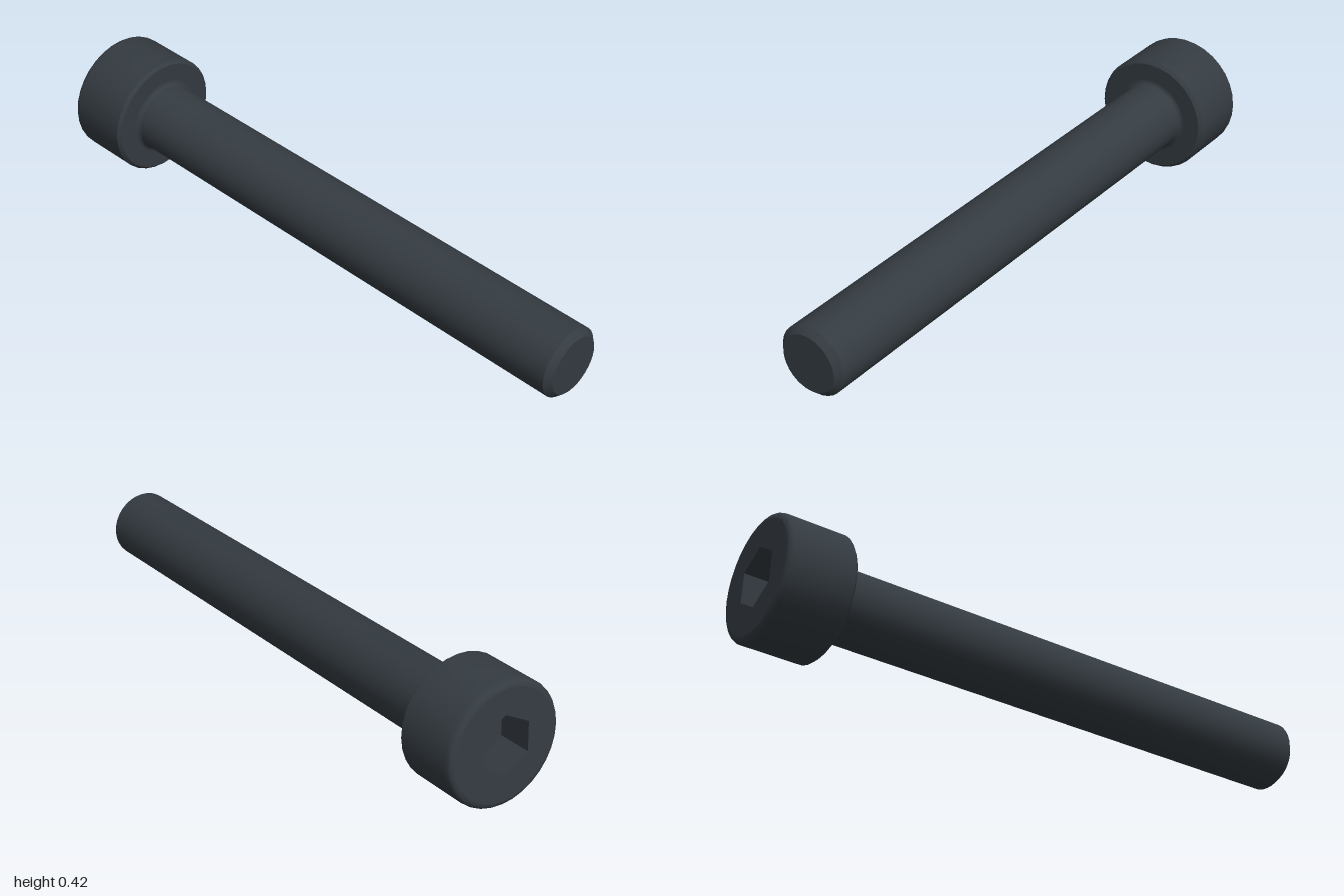
import * as THREE from 'three';
import { toCreasedNormals } from 'three/addons/utils/BufferGeometryUtils.js';

const SEGMENTS = 32;
const HEAD_R = 0.203, HEAD_L = 0.226, HEAD_ROUND = 0.02;
const SHANK_R = 0.116, LENGTH = 1.987, CHAMFER = 0.02;
const HEX_R = 0.1, HEX_DEPTH = 0.116;

// points [radius, distance along the axis] on a quarter arc
function arc(r, x, radius, from, to, steps = 4) {
  return Array.from({ length: steps + 1 }, (_, i) => {
    const a = from + (to - from) * i / steps;
    return [r + radius * Math.cos(a), x + radius * Math.sin(a)];
  });
}

// turned solid along +x with crisp edges
function turned(profile) {
  const geo = new THREE.LatheGeometry(profile.map(([r, x]) => new THREE.Vector2(r, x)), SEGMENTS);
  geo.rotateZ(-Math.PI / 2);
  return toCreasedNormals(geo, 0.5);
}

export function createModel() {
  const steel = new THREE.MeshStandardMaterial({ color: 0x343b41, side: THREE.DoubleSide });
  steel.name = 'blackened steel';

  const model = new THREE.Group();
  model.name = 'socketScrew';
  const add = (name, geo) => {
    const mesh = new THREE.Mesh(geo, steel);
    mesh.name = name;
    model.add(mesh);
  };

  // cylindrical head: rounded drive rim, small chamfer at the bearing face
  add('head', turned([
    ...arc(HEAD_R - HEAD_ROUND, HEAD_ROUND, HEAD_ROUND, -Math.PI / 2, 0),
    [HEAD_R, HEAD_L - 0.01],
    [HEAD_R - 0.01, HEAD_L],
    [SHANK_R, HEAD_L],
  ]));

  // shank with a fillet under the head and a chamfered tip
  const f = 0.015;
  add('shank', turned([
    ...arc(SHANK_R + f, HEAD_L + f, f, -Math.PI / 2, -Math.PI),
    [SHANK_R, LENGTH - CHAMFER],
    [SHANK_R - CHAMFER, LENGTH],
    [0, LENGTH],
  ]));

  // drive face with a hexagonal opening
  const face = new THREE.Shape();
  face.absarc(0, 0, HEAD_R - HEAD_ROUND, 0, Math.PI * 2);
  const corners = Array.from({ length: 6 }, (_, i) => {
    const a = Math.PI / 6 + i * Math.PI / 3;
    return new THREE.Vector2(HEX_R * Math.cos(a), HEX_R * Math.sin(a));
  });
  face.holes.push(new THREE.Path(corners));
  add('driveFace', new THREE.ShapeGeometry(face, SEGMENTS / 2).rotateY(-Math.PI / 2));

  // hex socket walls and floor
  const walls = new THREE.CylinderGeometry(HEX_R, HEX_R, HEX_DEPTH, 6, 1, true, Math.PI / 6)
    .rotateZ(-Math.PI / 2).translate(HEX_DEPTH / 2, 0, 0).toNonIndexed();
  walls.computeVertexNormals();
  add('socketWalls', walls);
  add('socketFloor', new THREE.CircleGeometry(HEX_R, 6, Math.PI / 6)
    .rotateY(-Math.PI / 2).translate(HEX_DEPTH, 0, 0));

  // lying tilted: head rim and tip both touch the ground
  const tilted = new THREE.Group();
  tilted.name = 'screw';
  model.rotation.set(0, -Math.atan2(0.4145, 1.941), -Math.asin(0.1005 / LENGTH), 'YZX');
  model.position.set(-0.961, 0.218, -0.163);
  tilted.add(model);
  return tilted;
}
